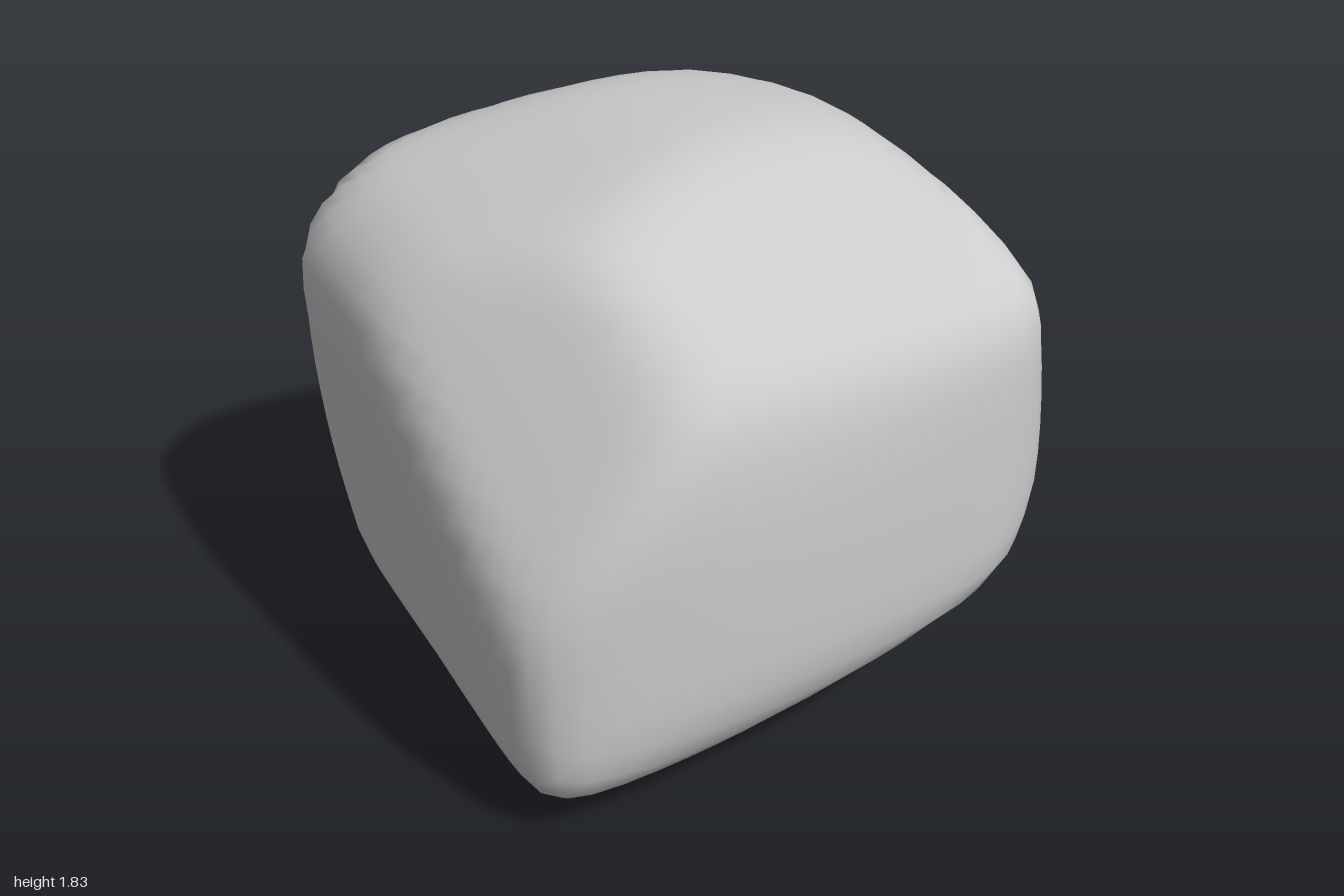
import * as THREE from 'three';
import { mergeVertices } from 'three/addons/utils/BufferGeometryUtils.js';

// Cutting planes of the boulder: normal x, y, z and offset from its middle
const FRONT = [
  [0.02, 0, 1, 1.025],         // middle
  [0.15, 0, 1, 1.05],          // turning to the right
  [-0.2, 0, 1, 1.11],          // turning to the left
  [0, 0.3, 0.95, 1.06],        // turning to the top
  [0.7, 0, 0.7, 1.21],         // right bevel
  [-0.8, 0, 0.6, 1.19],        // left bevel
];
const SIDES = [
  [-1, -0.1, 0.05, 0.91],      // left
  [1, 0.18, -0.12, 0.89],      // right
  [1, -0.22, -0.18, 0.94],     // right, turning under
];
const BACK = [
  [0, 0.28, -0.96, 0.89],      // upper middle
  [0.34, 0.17, -0.92, 0.87],   // turning to the right
  [-0.3, 0.12, -0.93, 0.925],  // turning to the left
  [0.75, 0, -0.65, 0.975],     // right bevel
  [-0.7, 0, -0.7, 1.16],       // left bevel
  [0.2, -0.5, -0.85, 1.06],    // lower bevel
];
const TOP = [
  [0.02, 1, -0.05, 0.945],     // middle
  [-0.33, 1, 0, 0.95],         // falling to the left
  [0, 0.86, 0.51, 0.94],       // falling to the front
  [0, 0.8, -0.6, 1.01],        // back bevel
  [0.65, 0.9, 0, 1.19],        // right bevel
  [0.6, 0.8, -0.5, 1.15],      // right back corner
  [-0.75, 0.66, 0, 1.05],      // left bevel
  [-1.15, 0.87, 0.8, 1.56],    // large cut at the left front corner
];
const UNDERSIDE = [
  [0.12, -1, 0, 0.9],          // middle
  [-0.1, -1, -0.1, 0.94],      // back left
  [0, -1, 0.22, 0.99],         // rising to the front
  [0.15, -0.66, 0.75, 1.1],    // front bevel
  [0.4, -0.9, 0.3, 0.92],      // rising to the right front
  [0.8, -0.5, 0.25, 1.06],     // right front cut
  [0.8, -0.45, -0.2, 0.85],    // right back cut
  [-0.6, -0.8, 0, 1.07],       // left bevel
  [-0.7, -0.3, -0.65, 1.17],   // left back cut
];
const PLANES = [...FRONT, ...SIDES, ...BACK, ...TOP, ...UNDERSIDE];
const ROUNDING = 24; // higher gives tighter edges

// Distance from the middle to the softened planes in direction d
function radius(d) {
  let sum = 0;
  for (const [x, y, z, h] of PLANES) {
    sum += Math.max(0, (x * d.x + y * d.y + z * d.z) / h) ** ROUNDING;
  }
  return sum ** (-1 / ROUNDING);
}

export function createModel() {
  // Even grid of quads wrapped around the boulder
  let geometry = new THREE.BoxGeometry(2, 2, 2, 18, 18, 18);
  geometry.deleteAttribute('uv');
  geometry.deleteAttribute('normal');
  geometry = mergeVertices(geometry);

  const pos = geometry.attributes.position;
  const p = new THREE.Vector3();
  for (let i = 0; i < pos.count; i++) {
    p.fromBufferAttribute(pos, i).normalize();
    p.multiplyScalar(radius(p));
    pos.setXYZ(i, p.x, p.y, p.z);
  }

  // Centre it and stand it on the ground
  geometry.computeBoundingBox();
  const { min, max } = geometry.boundingBox;
  geometry.translate(-(min.x + max.x) / 2, -min.y, -(min.z + max.z) / 2);
  geometry.computeVertexNormals();

  const boulder = new THREE.Mesh(
    geometry,
    new THREE.MeshStandardMaterial({ color: 0xcccccc })
  );
  boulder.name = 'boulder';

  const group = new THREE.Group();
  group.name = 'rock';
  group.add(boulder);
  return group;
}
